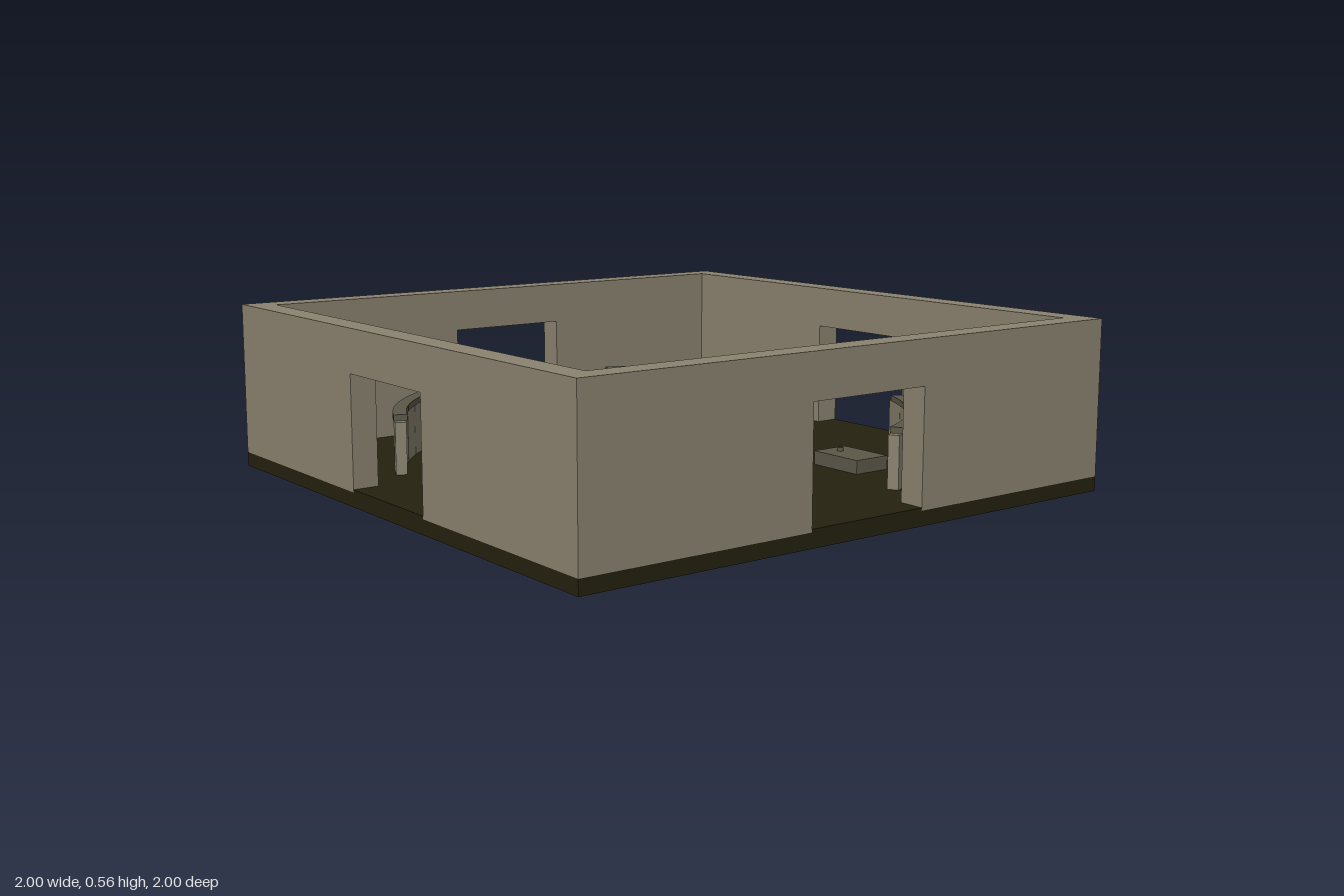
import * as THREE from 'three';

const WALL_BOTTOM = 0.047, FLOOR = 0.056, WALL_TOP = 0.555;
const THICK = 0.085, DOOR_HALF = 0.215, DOOR_TOP = 0.415;
const ARC_RADIUS = 0.838, PANELS = 6;
const rad = THREE.MathUtils.degToRad;

function material(name, color) {
  const m = new THREE.MeshStandardMaterial({ color });
  m.name = name;
  return m;
}

function add(parent, name, geometry, mat, x = 0, y = 0, z = 0) {
  const mesh = new THREE.Mesh(geometry, mat);
  mesh.name = name;
  mesh.position.set(x, y, z);
  parent.add(mesh);
  return mesh;
}

// Wall outline with a doorway notch at the bottom, extruded to the wall thickness
function wallGeometry(half) {
  const shape = new THREE.Shape([
    [-half, WALL_BOTTOM], [-DOOR_HALF, WALL_BOTTOM], [-DOOR_HALF, DOOR_TOP], [DOOR_HALF, DOOR_TOP],
    [DOOR_HALF, WALL_BOTTOM], [half, WALL_BOTTOM], [half, WALL_TOP], [-half, WALL_TOP],
  ].map(([x, y]) => new THREE.Vector2(x, y)));
  return new THREE.ExtrudeGeometry(shape, { depth: THICK, bevelEnabled: false });
}

// Flat curved strip between two angles, lying in the ground plane
function arcStrip(inner, outer, from, to, height) {
  const shape = new THREE.Shape();
  shape.absarc(0, 0, outer, from, to, false);
  shape.absarc(0, 0, inner, to, from, true);
  const g = new THREE.ExtrudeGeometry(shape, { depth: height, bevelEnabled: false, curveSegments: 12 });
  return g.rotateX(-Math.PI / 2);
}

export function createModel() {
  const root = new THREE.Group();
  root.name = 'walledRoom';
  const stone = material('tan stone', 0x8b8370);
  const dark = material('dark olive floor', 0x24210f);
  const grey = material('grey stone', 0x5b5849);

  // Base slab and raised inner floor
  const rise = FLOOR - WALL_BOTTOM, inner = 1 - THICK;
  add(root, 'baseSlab', new THREE.BoxGeometry(2, WALL_BOTTOM, 2), dark, 0, WALL_BOTTOM / 2, 0);
  add(root, 'innerFloor', new THREE.BoxGeometry(inner * 2, rise, inner * 2), dark, 0, WALL_BOTTOM + rise / 2, 0);

  // Four walls, each with a doorway and a threshold
  for (let i = 0; i < 4; i++) {
    const side = new THREE.Group();
    side.name = 'wallSide' + (i + 1);
    side.rotation.y = i * Math.PI / 2;
    add(side, 'wall', wallGeometry(i % 2 ? inner : 1), stone, 0, 0, inner);
    add(side, 'threshold', new THREE.BoxGeometry(DOOR_HALF * 2, rise, THICK), dark,
      0, WALL_BOTTOM + rise / 2, 1 - THICK / 2);
    root.add(side);
  }

  // Curved barriers in the corners: flat upright panels under a curved coping
  const from = rad(22), to = rad(68), step = (to - from) / PANELS;
  const panelHeight = 0.17;
  const panel = new THREE.BoxGeometry(0.036, panelHeight, ARC_RADIUS * step - 0.004);
  const coping = arcStrip(ARC_RADIUS - 0.022, ARC_RADIUS + 0.022, from + rad(2), to - rad(2), 0.02);
  for (let i = 0; i < 4; i++) {
    const barrier = new THREE.Group();
    barrier.name = 'curvedBarrier' + (i + 1);
    barrier.rotation.y = i * Math.PI / 2;
    for (let p = 0; p < PANELS; p++) {
      const a = from + (p + 0.5) * step;
      add(barrier, 'barrierPanel', panel, stone,
        Math.cos(a) * ARC_RADIUS, FLOOR + panelHeight / 2, -Math.sin(a) * ARC_RADIUS).rotation.y = a;
    }
    add(barrier, 'barrierCoping', coping, grey, 0, FLOOR + panelHeight, 0);
    root.add(barrier);
  }

  // Low blocks with a small knob on top
  const block = new THREE.BoxGeometry(0.2, 0.045, 0.135);
  const knob = new THREE.CylinderGeometry(0.011, 0.011, 0.012, 12);
  for (const x of [-0.45, 0.45]) {
    for (const z of [-0.45, 0.45]) {
      add(root, 'lowBlock', block, grey, x, FLOOR + 0.0225, z);
      add(root, 'blockKnob', knob, grey, x - 0.05, FLOOR + 0.051, z);
    }
  }
  return root;
}
